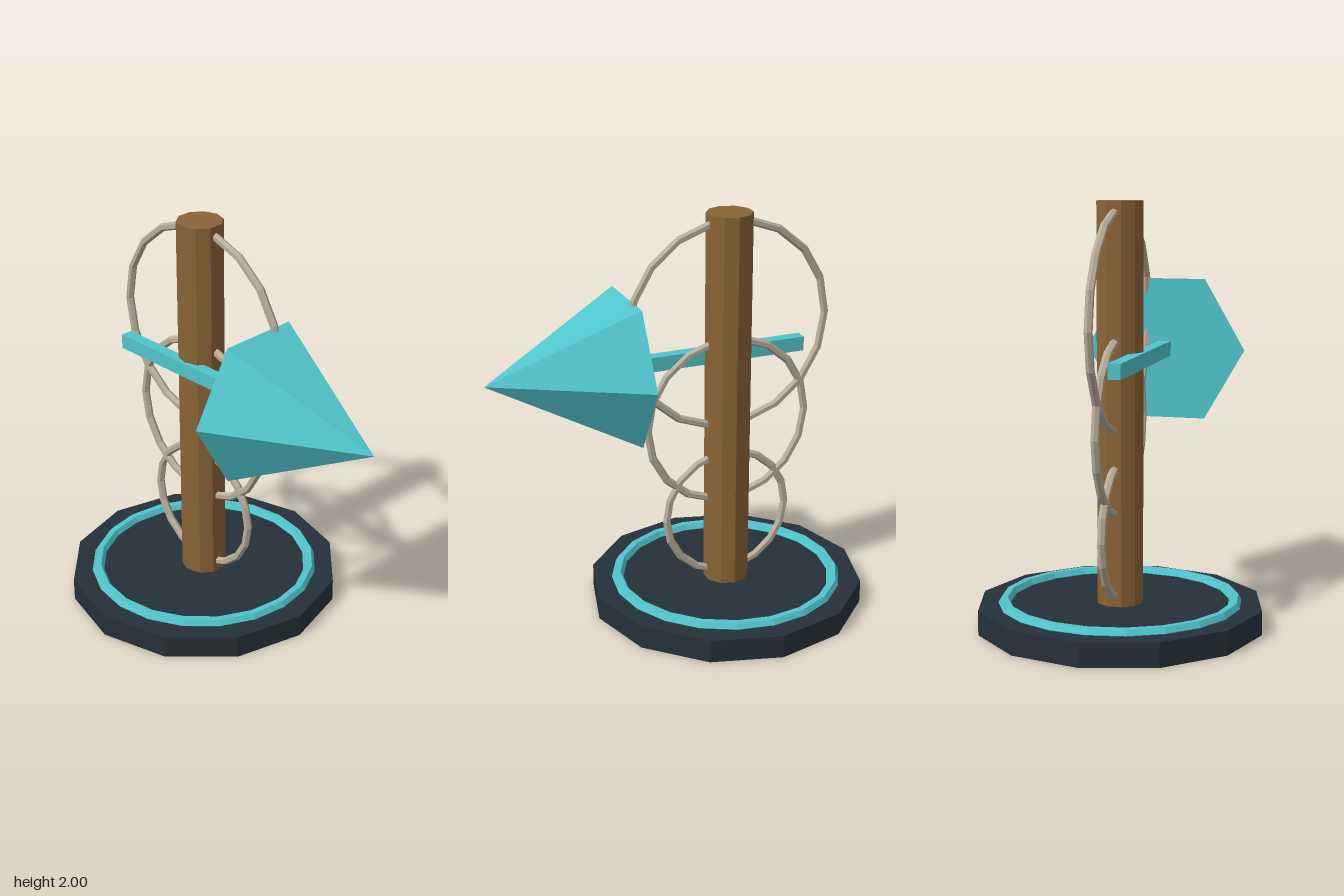
import * as THREE from 'three';

const AXIS_X = -0.254; // the post and base stand off centre

function material(name, color) {
  const m = new THREE.MeshStandardMaterial({ color, flatShading: true });
  m.name = name;
  return m;
}

export function createModel() {
  const group = new THREE.Group();
  const slate = material('dark slate', 0x25303a);
  const cyan = material('cyan', 0x50c4cc);
  const wood = material('wood brown', 0x8a6435);
  const stone = material('pale stone', 0xb8ad99);

  const add = (name, geometry, mat, x, y, z = 0) => {
    const mesh = new THREE.Mesh(geometry, mat);
    mesh.name = name;
    mesh.position.set(x, y, z);
    group.add(mesh);
    return mesh;
  };

  // Twelve-sided base with an inlaid ring
  add('base', new THREE.CylinderGeometry(0.682, 0.682, 0.115, 12), slate, AXIS_X, 0.0575);
  add('baseRing', new THREE.TorusGeometry(0.547, 0.03, 6, 20).rotateX(-Math.PI / 2), cyan, AXIS_X, 0.118);

  // Ten-sided post
  add('post', new THREE.CylinderGeometry(0.112, 0.112, 1.9, 10), wood, AXIS_X, 1.05);

  // Upright hoops growing towards the top
  for (let i = 0; i < 3; i++) {
    add('hoop' + (i + 1), new THREE.TorusGeometry(0.32 + i * 0.096, 0.02, 6, 18), stone, AXIS_X, 0.467 + i * 0.491);
  }

  // Arrow: flat shaft and six-sided head pointing to +x
  add('arrowShaft', new THREE.BoxGeometry(0.925, 0.072, 0.06), cyan, -0.23, 1.271, 0.095);
  add('arrowHead', new THREE.ConeGeometry(0.395, 0.705, 6).rotateZ(-Math.PI / 2), cyan, 0.5775, 1.271, 0.097);

  return group;
}
